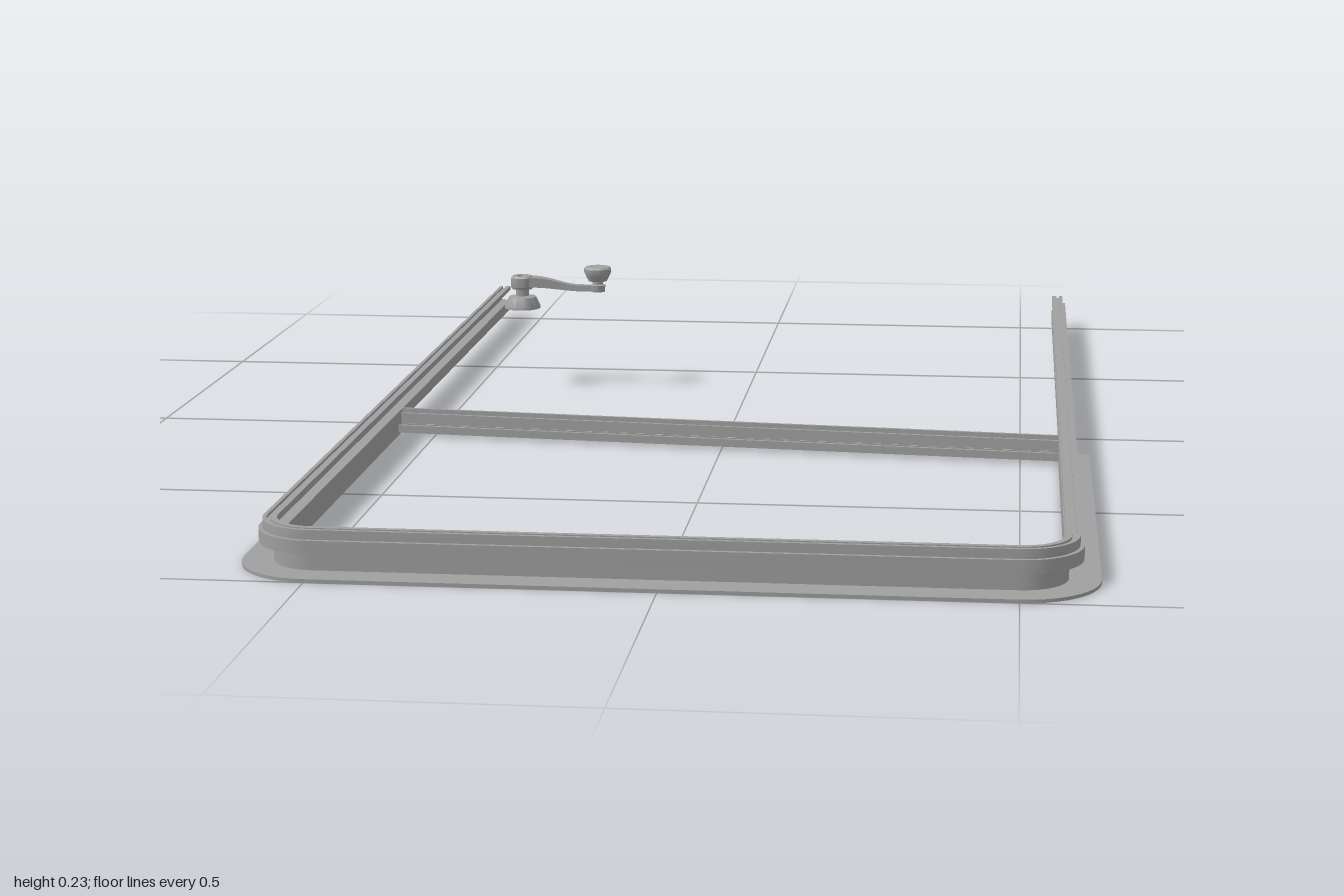
import * as THREE from 'three';
import { toCreasedNormals } from 'three/addons/utils/BufferGeometryUtils.js';

const HALF_W = 0.615, FRONT = 1, RADIUS = 0.115, SLOPE = 0.087;
const barLine = (x) => 0.077 + SLOPE * x; // slanted back edge of the sill

// U-shaped plan path with outward normals
function framePath(zStart) {
  const path = [{ x: -HALF_W, z: zStart, nx: -1, nz: 0 }];
  const steps = 10;
  for (const side of [-1, 1]) {
    for (let i = 0; i <= steps; i++) {
      const t = (side < 0 ? i : steps - i) / steps * Math.PI / 2;
      const nx = side * Math.cos(t), nz = Math.sin(t);
      path.push({
        x: side * (HALF_W - RADIUS) + nx * RADIUS,
        z: FRONT - RADIUS + nz * RADIUS, nx, nz,
      });
    }
  }
  path.push({ x: HALF_W, z: zStart, nx: 1, nz: 0 });
  return path;
}

// Sweep a closed profile of [inset, height] points along the path
function sweep(profile, path, slantedEnds) {
  const pts = profile.map(([d, y]) => new THREE.Vector2(d, y));
  if (!THREE.ShapeUtils.isClockWise(pts)) pts.reverse();
  const n = pts.length, last = path.length - 1;
  const pos = [], idx = [];
  path.forEach((p, i) => {
    for (const q of pts) {
      const x = p.x - p.nx * q.x;
      const atEnd = slantedEnds && (i === 0 || i === last);
      pos.push(x, q.y, atEnd ? barLine(x) : p.z - p.nz * q.x);
    }
  });
  for (let i = 0; i < last; i++) {
    for (let j = 0; j < n; j++) {
      const k = (j + 1) % n;
      const a = i * n + j, b = a + n, c = (i + 1) * n + k, d = i * n + k;
      idx.push(a, b, c, a, c, d);
    }
  }
  // end caps, both facing the back
  for (const [a, b, c] of THREE.ShapeUtils.triangulateShape(pts, [])) {
    const area = (pts[b].x - pts[a].x) * (pts[c].y - pts[a].y)
      - (pts[c].x - pts[a].x) * (pts[b].y - pts[a].y);
    const [u, v] = area > 0 ? [c, b] : [b, c];
    const e = last * n;
    idx.push(a, u, v, e + a, e + u, e + v);
  }
  const geo = new THREE.BufferGeometry();
  geo.setAttribute('position', new THREE.Float32BufferAttribute(pos, 3));
  geo.setIndex(idx);
  return toCreasedNormals(geo, 0.6);
}

// Bar strip sheared along the sill: z0..z1 measured from its back edge
function sillStrip(z0, z1, y0, y1) {
  const geo = new THREE.BoxGeometry(1.14, y1 - y0, z1 - z0);
  geo.translate(0, (y0 + y1) / 2, (z0 + z1) / 2);
  const p = geo.attributes.position;
  for (let i = 0; i < p.count; i++) p.setZ(i, p.getZ(i) + barLine(p.getX(i)));
  geo.computeVertexNormals();
  return geo;
}

function lathe(points) {
  const geo = new THREE.LatheGeometry(points.map(([r, y]) => new THREE.Vector2(r, y)), 28);
  return toCreasedNormals(geo, 0.5);
}

export function createModel() {
  const model = new THREE.Group();
  model.name = 'windowFrameAndCrank';
  const metal = new THREE.MeshStandardMaterial({ color: 0xa0a0a0 });
  metal.name = 'grey metal';
  const add = (parent, name, geo) => {
    const mesh = new THREE.Mesh(geo, metal);
    mesh.name = name;
    parent.add(mesh);
    return mesh;
  };

  // Glass run channel, open towards the glass
  add(model, 'glassChannel', sweep([
    [0.052, 0.068], [0.043, 0.068], [0.043, 0.064], [0.037, 0.064], [0.037, 0.068],
    [0.031, 0.068], [0.031, 0.054], [0.025, 0.054], [0.025, 0.034], [0.046, 0.034],
    [0.046, 0.02], [0.052, 0.02], [0.052, 0.04], [0.034, 0.04], [0.034, 0.06], [0.052, 0.06],
  ], framePath(-1), false));

  // Wall and flat outer flange
  add(model, 'outerFlange', sweep([
    [0, 0], [0, 0.005], [0.046, 0.005], [0.046, 0.022], [0.052, 0.022], [0.052, 0],
  ], framePath(0.1), true));

  // Slanted sill with sealing strips
  const sill = new THREE.Group();
  sill.name = 'sill';
  model.add(sill);
  add(sill, 'sillPlate', sillStrip(0, 0.062, 0.005, 0.011));
  add(sill, 'sillBackEdge', sillStrip(0, 0.014, 0.011, 0.022));
  add(sill, 'sealBack', sillStrip(0.02, 0.026, 0.011, 0.04));
  add(sill, 'sealFront', sillStrip(0.032, 0.038, 0.011, 0.034));
  add(sill, 'sillFrontEdge', sillStrip(0.056, 0.062, 0.011, 0.018));
  const clip = new THREE.BoxGeometry(0.014, 0.008, 0.006);
  for (let i = 0; i < 36; i++) {
    const x = -0.54 + i * 1.08 / 35;
    add(sill, 'sillClip', clip).position.set(x, 0.014, barLine(x) + 0.047);
  }

  // Winder crank
  const crank = new THREE.Group();
  crank.name = 'crank';
  crank.position.set(-0.42, 0, -0.34);
  model.add(crank);
  add(crank, 'crankBase', lathe([
    [0, 0.147], [0.033, 0.147], [0.033, 0.151], [0.025, 0.168], [0.012, 0.17],
    [0.012, 0.183], [0.019, 0.183], [0.021, 0.187], [0.021, 0.204], [0.018, 0.207],
    [0.01, 0.207], [0.009, 0.204], [0, 0.204],
  ]));

  // Arm bends downwards and narrows towards the knob
  const arm = new THREE.BoxGeometry(1, 1, 1, 14, 1, 1);
  const p = arm.attributes.position;
  for (let i = 0; i < p.count; i++) {
    const t = p.getX(i) + 0.5;
    const s = THREE.MathUtils.smoothstep(t, 0.1, 0.75);
    const width = THREE.MathUtils.lerp(0.03, 0.014, Math.min(1, t * 2));
    const thick = THREE.MathUtils.lerp(0.018, 0.011, s);
    p.setXYZ(i, 0.01 + t * 0.13, 0.196 - 0.01 * s + p.getY(i) * thick, p.getZ(i) * width);
  }
  add(crank, 'crankArm', toCreasedNormals(arm, 0.6));

  const knob = add(crank, 'crankKnob', lathe([
    [0, 0.18], [0.013, 0.18], [0.014, 0.192], [0.01, 0.194], [0.01, 0.2],
    [0.017, 0.2], [0.021, 0.208], [0.025, 0.217], [0.025, 0.223], [0.022, 0.226], [0, 0.226],
  ]));
  knob.position.x = 0.141;

  return model;
}
